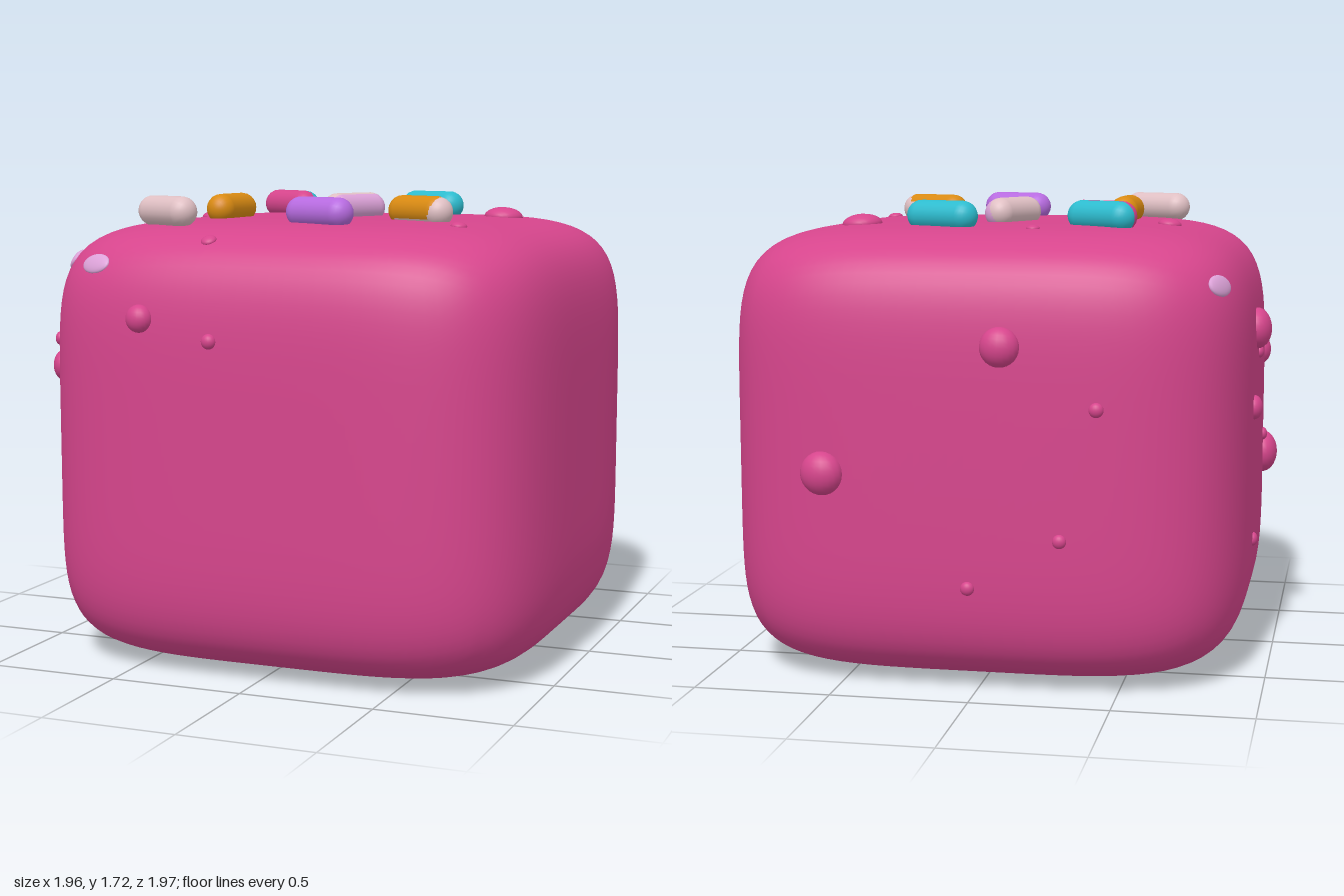
import * as THREE from 'three';
import { mergeVertices } from 'three/addons/utils/BufferGeometryUtils.js';

const CENTER = new THREE.Vector3(0.025, 0.815, 0.01);
const HALF = new THREE.Vector3(0.955, 0.815, 0.945);

// Soft-cornered block: equals 1 on the skin, below 1 inside
function blockNorm(x, y, z) {
  const ring = Math.pow(Math.abs(x), 4.3) + Math.pow(Math.abs(z), 4.3);
  return Math.pow(Math.pow(ring, 6 / 4.3) + Math.pow(Math.abs(y), 6), 1 / 6);
}
function level(p) {
  const q = p.clone().sub(CENTER).divide(HALF);
  return blockNorm(q.x, q.y, q.z);
}

// Slide a point along one axis until it lies on the skin
function onSkin(point, axis, sign) {
  const p = point.clone();
  let inside = 0, outside = 1.2;
  for (let i = 0; i < 30; i++) {
    const mid = (inside + outside) / 2;
    p[axis] = CENTER[axis] + sign * mid;
    if (level(p) < 1) inside = mid; else outside = mid;
  }
  return p;
}
function skinNormal(p) {
  const n = new THREE.Vector3();
  for (const a of ['x', 'y', 'z']) {
    const ahead = p.clone(), behind = p.clone();
    ahead[a] += 0.002;
    behind[a] -= 0.002;
    n[a] = level(ahead) - level(behind);
  }
  return n.normalize();
}

function bodyGeometry() {
  let g = new THREE.BoxGeometry(2, 2, 2, 32, 32, 32);
  g.deleteAttribute('uv');
  g.deleteAttribute('normal');
  g = mergeVertices(g);
  const pos = g.attributes.position;
  const v = new THREE.Vector3();
  for (let i = 0; i < pos.count; i++) {
    v.fromBufferAttribute(pos, i);
    v.divideScalar(blockNorm(v.x, v.y, v.z)).multiply(HALF).add(CENTER);
    pos.setXYZ(i, v.x, v.y, v.z);
  }
  g.computeVertexNormals();
  return g;
}

export function createModel() {
  const model = new THREE.Group();
  model.name = 'sprinkledCube';
  const mat = (name, color) => {
    const m = new THREE.MeshStandardMaterial({ color });
    m.name = name;
    return m;
  };
  const pink = mat('pink icing', 0xd6458c);
  const cyan = mat('cyan sugar', 0x2dbccf);
  const amber = mat('amber sugar', 0xd98a12);
  const cream = mat('pale sugar', 0xdfbfc3);
  const purple = mat('purple sugar', 0xb76be0);
  const lilac = mat('lilac gloss', 0xdca2d8);

  const add = (parent, name, geometry, material) => {
    const mesh = new THREE.Mesh(geometry, material);
    mesh.name = name;
    parent.add(mesh);
    return mesh;
  };

  add(model, 'body', bodyGeometry(), pink);

  // Capsule sprinkles lying on top: x, z, direction (dx, dz), colour, offset x/y/z
  const sprinkles = new THREE.Group();
  sprinkles.name = 'sprinkles';
  model.add(sprinkles);
  const capsule = new THREE.CapsuleGeometry(0.056, 0.185, 8, 20);
  const up = new THREE.Vector3(0, 1, 0);
  const sprinkle = (x, z, dx, dz, material, y = 1.664) => {
    const m = add(sprinkles, 'sprinkle', capsule, material);
    m.position.set(x, y, z);
    m.quaternion.setFromUnitVectors(up, new THREE.Vector3(dx, 0, dz).normalize());
  };
  sprinkle(-0.37, -0.342, 0.2, 0.13, pink);
  sprinkle(-0.367, -0.349, 0.2, 0.13, cyan, 1.663);
  sprinkle(0.21, -0.435, 0.2, 0.09, cyan);
  sprinkle(0.015, -0.06, 0.08, -0.2, cream);
  sprinkle(0.019, -0.058, 0.08, -0.2, lilac, 1.662);
  sprinkle(-0.39, 0.195, 0, 1, amber);
  sprinkle(0.385, 0.22, 0.18, 0.1, amber);
  sprinkle(0.391, 0.222, 0.18, 0.1, cream, 1.662);
  sprinkle(0.105, 0.51, 0.2, 0.08, purple);
  sprinkle(-0.465, 0.59, 0.18, 0.1, cream);

  // Icing drops, flattened against the skin: [first coord, second coord, radius]
  const drops = new THREE.Group();
  drops.name = 'icingDrops';
  model.add(drops);
  const ball = new THREE.SphereGeometry(1, 20, 14);
  const zAxis = new THREE.Vector3(0, 0, 1);
  const faces = [
    { axis: 'y', sign: 1, squash: 0.5, at: (a, b) => [a, 0, b], list: [
      [-0.585, -0.05, 0.045], [0.545, -0.315, 0.075], [-0.145, -0.53, 0.025],
      [0.26, 0.06, 0.025], [0.61, 0.44, 0.03], [-0.195, 0.805, 0.028]] },
    { axis: 'z', sign: 1, squash: 0.85, at: (a, b) => [a, b, 0], list: [
      [-0.405, 1.3, 0.05], [-0.13, 1.23, 0.027]] },
    { axis: 'z', sign: -1, squash: 0.78, at: (a, b) => [a, b, 0], list: [
      [-0.1, 1.24, 0.07], [0.54, 0.78, 0.078], [-0.435, 1.03, 0.026],
      [-0.31, 0.57, 0.025], [0.015, 0.39, 0.025]] },
    { axis: 'x', sign: -1, squash: 0.7, at: (a, b) => [0, b, a], list: [
      [-0.115, 1.24, 0.077], [-0.01, 1.14, 0.025], [-0.26, 0.96, 0.045],
      [-0.2, 0.45, 0.026], [0.445, 0.68, 0.083], [0.33, 0.77, 0.025],
      [0.61, 1.08, 0.06], [0.69, 1.19, 0.025]] },
  ];
  for (const f of faces) {
    for (const [a, b, r] of f.list) {
      const m = add(drops, 'icingDrop', ball, pink);
      m.position.copy(onSkin(new THREE.Vector3(...f.at(a, b)), f.axis, f.sign));
      m.quaternion.setFromUnitVectors(zAxis, skinNormal(m.position));
      m.scale.set(r, r, r * f.squash);
    }
  }

  // Pale gloss patches on the upper corners
  for (const [x, z] of [[-0.82, 0.64], [-0.63, 0.84], [-0.83, -0.66]]) {
    const m = add(model, 'glossPatch', ball, lilac);
    const p = onSkin(new THREE.Vector3(x, 0, z), 'y', 1);
    const n = skinNormal(p);
    const side = new THREE.Vector3().crossVectors(up, n).normalize();
    const rise = new THREE.Vector3().crossVectors(n, side);
    m.quaternion.setFromRotationMatrix(new THREE.Matrix4().makeBasis(side, rise, n));
    m.position.copy(p).addScaledVector(n, -0.004);
    m.scale.set(0.07, 0.04, 0.016);
  }
  return model;
}
